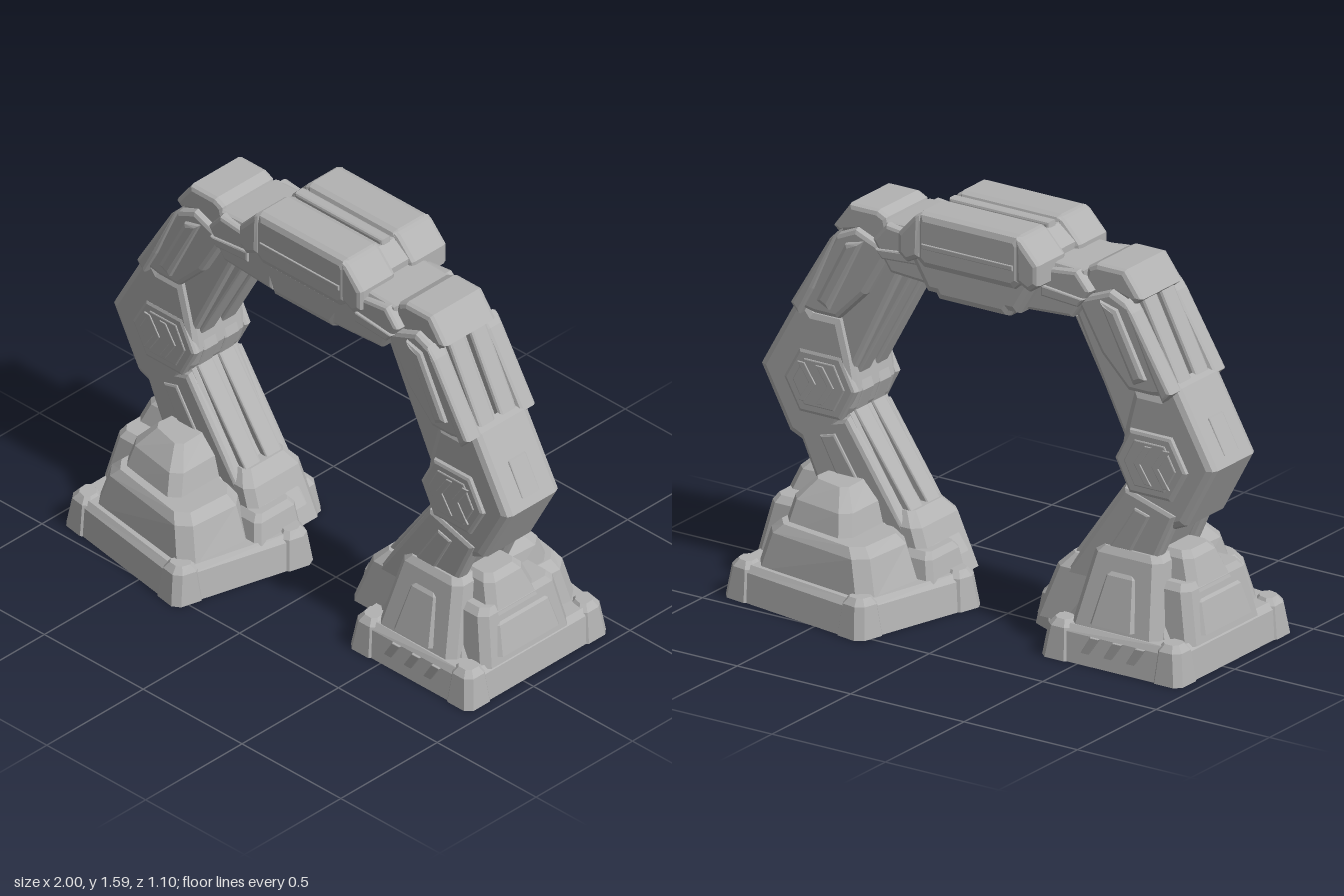
import * as THREE from 'three';

const metal = new THREE.MeshStandardMaterial({ color: 0xb2b2b2 });
metal.name = 'grey metal';

function add(parent, name, geometry) {
  const mesh = new THREE.Mesh(geometry, metal);
  mesh.name = name;
  parent.add(mesh);
  return mesh;
}

// Bevelled plate: an outline in x, y, from z0 to z1
function plate(parent, name, pts, z0, z1, b = 0.015) {
  const shape = new THREE.Shape(pts.map(p => new THREE.Vector2(p[0], p[1])));
  const g = new THREE.ExtrudeGeometry(shape, {
    depth: z1 - z0 - 2 * b, bevelEnabled: true, bevelSize: b, bevelThickness: b,
    bevelOffset: -b, bevelSegments: 2, curveSegments: 4,
  });
  g.translate(0, 0, z0 + b);
  return add(parent, name, g);
}

// The same plate on the front and the back
function platePair(parent, name, pts, z0, z1, b) {
  plate(parent, name + 'Front', pts, z0, z1, b);
  plate(parent, name + 'Back', pts, -z1, -z0, b);
}

// Closed solid through rings of [x, y, z] points, from bottom to top
function loft(rings) {
  const n = rings[0].length, pos = [];
  let area = 0;
  rings[0].forEach((p, i) => {
    const q = rings[0][(i + 1) % n];
    area += p[0] * q[2] - q[0] * p[2];
  });
  if (area > 0) rings = rings.map(r => [...r].reverse());
  const tri = (...v) => v.forEach(p => pos.push(...p));
  const mid = r => [0, 1, 2].map(k => r.reduce((s, p) => s + p[k], 0) / n);
  const low = rings[0], high = rings[rings.length - 1], cl = mid(low), ch = mid(high);
  for (let i = 0; i < n; i++) {
    const j = (i + 1) % n;
    for (let k = 0; k + 1 < rings.length; k++) {
      const a = rings[k], b = rings[k + 1];
      tri(a[i], a[j], b[j]);
      tri(a[i], b[j], b[i]);
    }
    tri(ch, high[i], high[j]);
    tri(cl, low[j], low[i]);
  }
  const g = new THREE.BufferGeometry();
  g.setAttribute('position', new THREE.Float32BufferAttribute(pos, 3));
  g.computeVertexNormals();
  return g;
}

// Cut each corner of an outline
function chamfer(pts, c) {
  const out = [], n = pts.length;
  pts.forEach((p, i) => {
    for (const q of [pts[(i + n - 1) % n], pts[(i + 1) % n]]) {
      const d = Math.hypot(q[0] - p[0], q[1] - p[1]);
      out.push([p[0] + (q[0] - p[0]) * c / d, p[1] + (q[1] - p[1]) * c / d]);
    }
  });
  return out;
}

// Tapered armour block between two outlines in x, z, with a softened top edge
function pad(parent, name, bottom, top, y0, y1, c = 0.02, soft = 0.025) {
  const a = chamfer(bottom, c), b = chamfer(top, c), n = b.length;
  const cx = b.reduce((s, p) => s + p[0], 0) / n, cz = b.reduce((s, p) => s + p[1], 0) / n;
  const ring = (pts, y) => pts.map(p => [p[0], y, p[1]]);
  const t = 1 - soft / (y1 - y0);
  const shoulder = a.map((p, i) => [p[0] + (b[i][0] - p[0]) * t, p[1] + (b[i][1] - p[1]) * t]);
  const cap = b.map(p => {
    const d = Math.hypot(p[0] - cx, p[1] - cz), s = Math.max(0.5, 1 - soft * 0.8 / d);
    return [cx + (p[0] - cx) * s, cz + (p[1] - cz) * s];
  });
  return add(parent, name, loft([ring(a, y0), ring(shoulder, y0 + (y1 - y0) * t), ring(cap, y1)]));
}

const rect = (x0, x1, z0, z1) => [[x0, z0], [x1, z0], [x1, z1], [x0, z1]];

function buildFoot() {
  const foot = new THREE.Group();
  foot.name = 'foot';
  const base = [[0.275, -0.55], [0.95, -0.44], [0.95, 0.285], [0.34, 0.285], [0.32, 0.1], [0.12, 0.01]];
  const scale = (s) => base.map(p => [0.6 + (p[0] - 0.6) * s, -0.1 + (p[1] + 0.1) * s]);
  pad(foot, 'footSlab', scale(0.99), scale(0.94), 0, 0.135, 0.03);
  // Raised caps on the slab corners
  [0, 1, 2, 3, 5].forEach(i => {
    const n = base.length, p = base[i];
    const to = (q) => {
      const d = Math.hypot(q[0] - p[0], q[1] - p[1]);
      return [(q[0] - p[0]) / d, (q[1] - p[1]) / d];
    };
    const u = to(base[(i + n - 1) % n]), v = to(base[(i + 1) % n]);
    const cap = (o, w) => [[o, o], [w, o], [w, w], [o, w]].map(
      ([a, b]) => [p[0] + u[0] * a + v[0] * b, p[1] + u[1] * a + v[1] * b]);
    pad(foot, 'cornerCap', cap(-0.004, 0.13), cap(0.018, 0.12), 0, 0.146, 0.025);
  });
  // Stepped body under the leg
  pad(foot, 'footBody', [[0.3, -0.42], [0.87, -0.34], [0.87, 0.2], [0.38, 0.2]],
    [[0.42, -0.25], [0.8, -0.22], [0.8, 0.13], [0.45, 0.13]], 0.12, 0.3, 0.04);
  // Back armour in two steps
  pad(foot, 'backLowerPad', [[0.29, -0.485], [0.86, -0.4], [0.83, -0.1], [0.25, -0.15]],
    [[0.34, -0.45], [0.81, -0.37], [0.79, -0.1], [0.32, -0.15]], 0.12, 0.3, 0.05, 0.035);
  pad(foot, 'backUpperPad', [[0.44, -0.395], [0.78, -0.34], [0.77, -0.05], [0.44, -0.05]],
    [[0.49, -0.32], [0.75, -0.27], [0.73, -0.05], [0.49, -0.05]], 0.26, 0.45, 0.04, 0.07);
  // Front armour with a raised frame and a panel
  pad(foot, 'frontPad', rect(0.43, 0.82, 0, 0.245), rect(0.49, 0.78, 0, 0.165), 0.12, 0.43, 0.03);
  pad(foot, 'frontPanel', rect(0.52, 0.73, 0.1, 0.25), rect(0.56, 0.7, 0.1, 0.19), 0.15, 0.36, 0.02);
  // Outer side armour
  pad(foot, 'outerPad', rect(0.7, 0.935, -0.27, 0.18), rect(0.7, 0.89, -0.23, 0.15), 0.12, 0.34, 0.03);
  pad(foot, 'outerPanel', rect(0.7, 0.942, -0.21, 0.12), rect(0.7, 0.905, -0.18, 0.1), 0.15, 0.29, 0.02);
  pad(foot, 'outerRidge', rect(0.68, 0.9, -0.15, 0.11), rect(0.66, 0.85, -0.1, 0.08), 0.3, 0.44, 0.03);
  // Block where the leg meets the inner side of the foot
  pad(foot, 'innerPad', rect(0.22, 0.56, -0.16, 0.16), rect(0.32, 0.56, -0.14, 0.14), 0.095, 0.35, 0.03, 0.05);
  pad(foot, 'innerToe', rect(0.2, 0.36, -0.2, 0.04), rect(0.23, 0.36, -0.17, 0.03), 0.1, 0.23, 0.02);
  // Slanted bars on the slab sides
  for (let i = 0; i < 3; i++) {
    const x = 0.5 + i * 0.1;
    plate(foot, 'slabBar', [[x, 0.03], [x + 0.04, 0.03], [x + 0.09, 0.11], [x + 0.05, 0.11]], 0.262, 0.275, 0.003);
  }
  return foot;
}

function buildHalf() {
  const half = new THREE.Group();
  half.name = 'archHalf';
  // Core frame of beam, arm and leg
  plate(half, 'coreFrame', [[-0.03, 1.45], [0.58, 1.45], [0.64, 1.36], [0.9, 0.86], [0.92, 0.78], [0.73, 0.42],
    [0.66, 0.12], [0.28, 0.2], [0.43, 0.4], [0.62, 0.7], [0.62, 0.8], [0.385, 1.275], [-0.03, 1.275]], -0.125, 0.125, 0.02);
  // Twin rails along the inside and the outside of the upper arm
  for (const z of [0.05, -0.06]) {
    plate(half, 'innerRail', [[0.42, 1.33], [0.35, 1.265], [0.59, 0.83], [0.57, 0.77], [0.6, 0.69], [0.23, 0.17],
      [0.3, 0.17], [0.66, 0.7], [0.66, 0.82]], z - 0.04, z + 0.04, 0.01);
    plate(half, 'outerRail', [[0.6, 1.42], [0.665, 1.39], [0.83, 1.07], [0.8, 1.04]], z - 0.042, z + 0.042, 0.012);
  }
  // Beam armour
  platePair(half, 'beamPanel', [[0.15, 1.44], [0.42, 1.47], [0.48, 1.4], [0.4, 1.285], [0.15, 1.27]], 0.1, 0.175);
  platePair(half, 'beamStrip', [[0.27, 1.39], [0.46, 1.37], [0.43, 1.335], [0.27, 1.345]], 0.1, 0.185, 0.008);
  plate(half, 'beamTop', [[0.15, 1.48], [0.44, 1.47], [0.44, 1.4], [0.15, 1.4]], -0.15, 0.15);
  plate(half, 'beamUnderside', [[0.05, 1.31], [0.37, 1.31], [0.37, 1.262], [0.05, 1.262]], -0.11, 0.11, 0.01);
  // Shoulder block
  plate(half, 'shoulder', [[0.42, 1.4], [0.44, 1.48], [0.48, 1.5], [0.605, 1.5], [0.68, 1.4], [0.65, 1.375],
    [0.56, 1.4], [0.5, 1.36]], -0.14, 0.135, 0.02);
  // Upper arm side armour
  platePair(half, 'armPlate', [[0.41, 1.36], [0.56, 1.42], [0.65, 1.38], [0.83, 1.07], [0.74, 1.05], [0.64, 1.05],
    [0.52, 1.17]], 0.09, 0.165, 0.02);
  platePair(half, 'armRidge', [[0.52, 1.38], [0.6, 1.36], [0.73, 1.11], [0.67, 1.08]], 0.12, 0.182, 0.02);
  platePair(half, 'armRim', [[0.63, 1.4], [0.67, 1.36], [0.84, 1.08], [0.8, 1.04], [0.74, 1.15]], 0.1, 0.18, 0.015);
  // Elbow block with an outer recess frame
  plate(half, 'elbow', [[0.64, 1.05], [0.76, 1.05], [0.8, 1.1], [0.84, 1.085], [1.0, 0.8], [0.87, 0.56], [0.8, 0.53],
    [0.66, 0.6], [0.6, 0.7], [0.575, 0.77], [0.6, 0.9]], -0.145, 0.135, 0.03);
  plate(half, 'elbowPanel', [[0.88, 0.97], [0.915, 0.965], [0.985, 0.835], [0.95, 0.83]], -0.05, 0.04, 0.006);
  // Hexagonal badge plate with two chevron bars
  const hex = (s) => [[0.57, 0.775], [0.635, 0.65], [0.82, 0.65], [0.89, 0.775], [0.82, 0.9], [0.635, 0.9]]
    .map(([x, y]) => [0.73 + (x - 0.73) * s, 0.775 + (y - 0.775) * s]);
  platePair(half, 'elbowHexagon', hex(1), 0.11, 0.15, 0.015);
  platePair(half, 'elbowHexagonFace', hex(0.72), 0.14, 0.154, 0.005);
  for (const x of [0.66, 0.74]) {
    platePair(half, 'elbowChevron', [[x, 0.775], [x + 0.05, 0.7], [x + 0.08, 0.7], [x + 0.03, 0.775],
      [x + 0.08, 0.85], [x + 0.05, 0.85]], 0.15, 0.158, 0.003);
  }
  // Lower leg armour
  platePair(half, 'legPlate', [[0.61, 0.67], [0.84, 0.6], [0.74, 0.38], [0.68, 0.25], [0.33, 0.25], [0.42, 0.39]],
    0.08, 0.145, 0.02);
  platePair(half, 'legRidge', [[0.66, 0.6], [0.73, 0.58], [0.58, 0.3], [0.48, 0.32]], 0.12, 0.152, 0.01);
  half.add(buildFoot());
  return half;
}

function buildCrown() {
  const crown = new THREE.Group();
  crown.name = 'crown';
  const mirror = pts => [...pts, ...pts.map(([x, y]) => [-x, y]).reverse()];
  // Main block, with two top ridges and a central spine
  plate(crown, 'crownBlock', mirror([[0.22, 1.56], [0.29, 1.5], [0.29, 1.42], [0.2, 1.27]]), -0.235, 0.165, 0.03);
  const ridge = mirror([[0.215, 1.585], [0.235, 1.55], [0.235, 1.4], [0.2, 1.37]]);
  plate(crown, 'crownRidgeBack', ridge, -0.258, -0.07, 0.03);
  plate(crown, 'crownRidgeFront', ridge, 0, 0.188, 0.03);
  plate(crown, 'crownSpine', mirror([[0.22, 1.58], [0.23, 1.5]]), -0.06, -0.01, 0.01);
  // End caps, one at each corner
  for (const s of [1, -1]) {
    const cap = [[0.21, 1.58], [0.235, 1.57], [0.31, 1.49], [0.31, 1.41], [0.27, 1.38], [0.21, 1.41]];
    const pts = cap.map(([x, y]) => [s * x, y]);
    plate(crown, 'endCapBack', pts, -0.262, -0.075, 0.02);
    plate(crown, 'endCapFront', pts, 0.005, 0.192, 0.02);
  }
  // Lower side panels and the keel
  const lower = mirror([[0.22, 1.4], [0.2, 1.33], [0.15, 1.25]]);
  plate(crown, 'lowerPanelBack', lower, -0.235, -0.12, 0.03);
  plate(crown, 'lowerPanelFront', lower, 0.06, 0.175, 0.03);
  plate(crown, 'sideBarFront', mirror([[0.2, 1.47], [0.2, 1.45]]), 0.18, 0.194, 0.003);
  plate(crown, 'sideBarBack', mirror([[0.2, 1.47], [0.2, 1.45]]), -0.264, -0.25, 0.003);
  plate(crown, 'keel', mirror([[0.17, 1.3], [0.17, 1.265], [0.14, 1.24]]), -0.19, 0.13, 0.01);
  return crown;
}

export function createModel() {
  const model = new THREE.Group();
  model.name = 'archway';
  const left = buildHalf(), right = buildHalf();
  left.name = 'leftHalf';
  right.name = 'rightHalf';
  right.rotation.y = Math.PI;
  model.add(left, right, buildCrown());
  return model;
}
